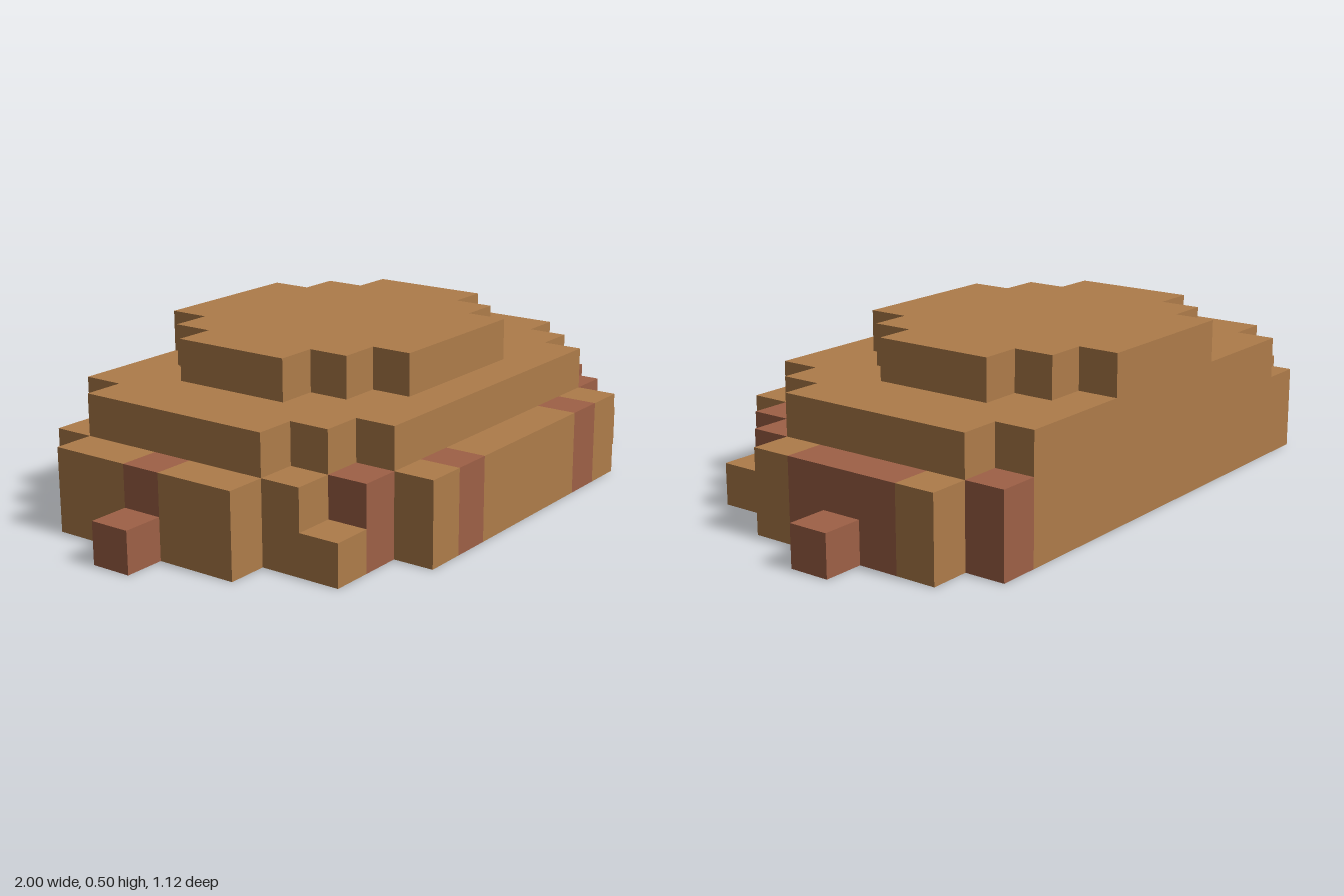
import * as THREE from 'three';

const U = 0.125;      // one block
const BACK = -0.5625; // rear edge of the first row

export function createModel() {
  const brown = new THREE.MeshStandardMaterial({ color: 0xae7c4a });
  brown.name = 'brown';
  const red = new THREE.MeshStandardMaterial({ color: 0x9e6046 });
  red.name = 'rust red';
  const group = new THREE.Group();
  group.name = 'blockMound';

  // Stepped slab: one [left, right] span (in blocks) per row, running back to front
  function slab(name, spans, y, h) {
    const right = [], left = [];
    spans.forEach(([l, r], i) => {
      for (const k of [i, i + 1]) {
        const v = -(BACK + k * U);
        right.push(new THREE.Vector2(r * U, v));
        left.push(new THREE.Vector2(l * U, v));
      }
    });
    const shape = new THREE.Shape([...right, ...left.reverse()]);
    const geo = new THREE.ExtrudeGeometry(shape, { depth: h * U, bevelEnabled: false });
    geo.rotateX(-Math.PI / 2);
    const mesh = new THREE.Mesh(geo, brown);
    mesh.name = name;
    mesh.position.y = y * U;
    group.add(mesh);
  }

  // Box standing on the ground: left column x, first row, height and row count in blocks
  function block(name, mat, x, row, h, rows = 1) {
    const mesh = new THREE.Mesh(new THREE.BoxGeometry(U, h * U, rows * U), mat);
    mesh.name = name;
    mesh.position.set((x + 0.5) * U, h * U / 2, BACK + (row + rows / 2) * U);
    group.add(mesh);
  }

  const mirrored = (halves) => halves.map((w) => [-w, w]);

  // Three terraces; the base leaves gaps for the red blocks
  slab('baseTier', [[-6, 5], [-7, 7], [-7, 6], [-6, 6], [-7, 6], [-7, 7], [-6, 5], [-4, 4], [-2, 2]], 0, 2);
  slab('middleTier', mirrored([5, 6, 6, 6, 6, 6, 5, 4]), 2, 1);
  slab('topTier', mirrored([2, 3, 4, 4, 4, 3, 2]), 3, 1);

  // Blocks found on both sides
  for (const [side, x] of [['left', (c) => c], ['right', (c) => -c - 1]]) {
    block(side + 'FrontStripe', red, x(2), 8, 2);
    block(side + 'FrontEnd', brown, x(3), 8, 2);
    block(side + 'CornerPatch', red, x(4), 7, 2);
    block(side + 'LowStep', brown, x(5), 7, 1);
    block(side + 'Knob', red, x(7), 3, 1);
  }

  // Red patches that differ from side to side
  block('leftSidePatch', red, 6, 2, 2, 3);
  block('leftFrontPatch', red, 5, 6, 2);
  block('leftBackPatch', red, 5, 0, 2);
  block('rightSidePatch', red, -7, 3, 2);

  return group;
}
